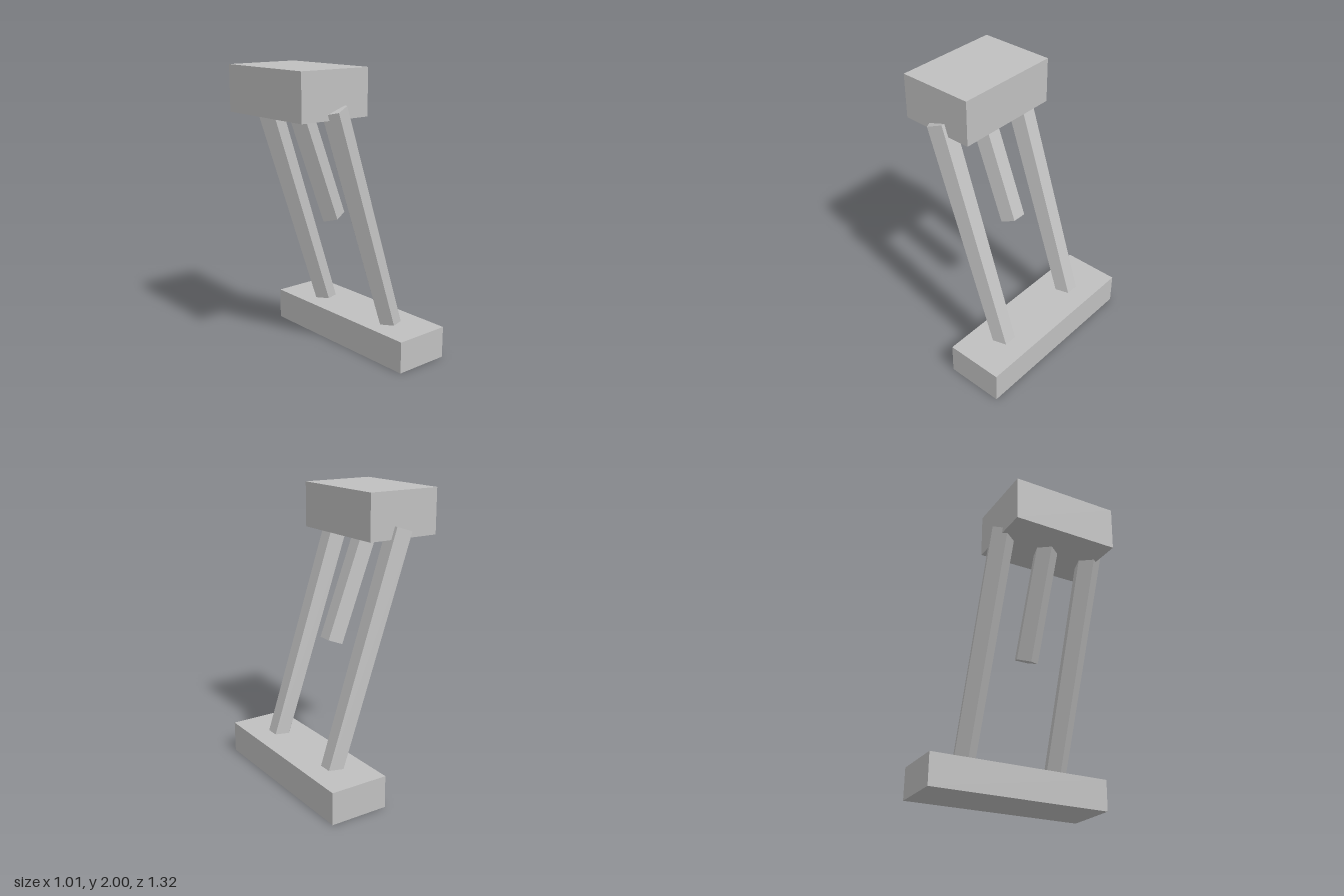
import * as THREE from 'three';

export function createModel() {
  const group = new THREE.Group();
  const grey = new THREE.MeshStandardMaterial({ color: 0xc0c0c0 });
  grey.name = 'grey';
  grey.flatShading = true;

  function block(name, min, max) {
    const size = max.map((v, i) => v - min[i]);
    const mesh = new THREE.Mesh(new THREE.BoxGeometry(...size), grey);
    mesh.position.set(...max.map((v, i) => (v + min[i]) / 2));
    mesh.name = name;
    group.add(mesh);
  }

  // Five-sided strut between two points, with its ridge towards -x
  function strut(name, bottom, top, rBottom, rTop) {
    const a = new THREE.Vector3(...bottom);
    const b = new THREE.Vector3(...top);
    const geometry = new THREE.CylinderGeometry(rTop, rBottom, a.distanceTo(b), 5, 1, false, -Math.PI / 2);
    const mesh = new THREE.Mesh(geometry, grey);
    mesh.position.copy(a).add(b).multiplyScalar(0.5);
    mesh.quaternion.setFromUnitVectors(new THREE.Vector3(0, 1, 0), b.sub(a).normalize());
    mesh.name = name;
    group.add(mesh);
  }

  // Head and foot blocks
  block('head', [-0.505, 1.69, -0.378], [0.027, 2, 0.378]);
  block('foot', [0.094, 0, -0.66], [0.502, 0.222, 0.66]);

  // Two long legs, sunk into both blocks
  for (const [name, side] of [['leftSideLeg', 1], ['rightSideLeg', -1]]) {
    strut(name, [0.328, 0.1, side * 0.349], [-0.235, 1.751, side * 0.349], 0.08, 0.091);
  }

  // Short strut hanging from the head
  strut('middleStrut', [0.061, 0.96, 0], [-0.242, 1.75, 0], 0.086, 0.086);

  return group;
}
